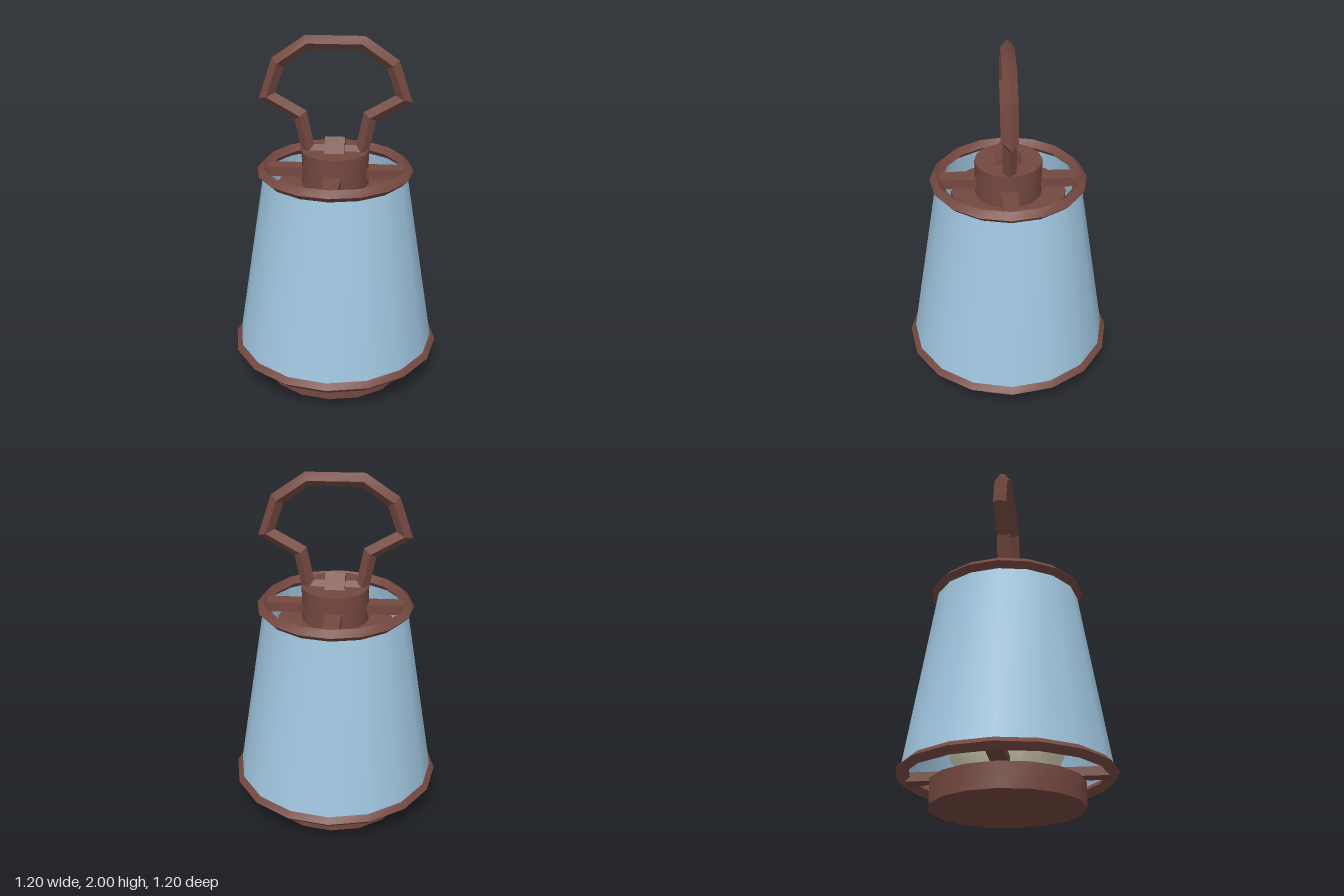
import * as THREE from 'three';
import { toCreasedNormals } from 'three/addons/utils/BufferGeometryUtils.js';

const SIDES = 16;

export function createModel() {
  const group = new THREE.Group();
  const material = (name, color) => {
    const m = new THREE.MeshStandardMaterial({ color, side: THREE.DoubleSide });
    m.name = name;
    return m;
  };
  const brown = material('brown metal', 0x744840);
  const blue = material('blue shade', 0xa0c6e0);
  const cream = material('cream glass', 0xd8d5b6);

  const add = (name, geometry, mat, x = 0, y = 0, z = 0) => {
    const mesh = new THREE.Mesh(toCreasedNormals(geometry, Math.PI / 7), mat);
    mesh.name = name;
    mesh.position.set(x, y, z);
    group.add(mesh);
    return mesh;
  };
  const drum = (name, r, y0, y1) =>
    add(name, new THREE.CylinderGeometry(r, r, y1 - y0, SIDES), brown, 0, (y0 + y1) / 2);

  // Ring with a diamond section
  const ring = (name, r, y) =>
    add(name, new THREE.TorusGeometry(r, 0.035, 4, SIDES).rotateX(Math.PI / 2), brown, 0, y);

  // Four spokes joining a centre to a ring
  const spokes = (name, r0, r1, y, h) => {
    for (let i = 0; i < 4; i++) {
      const g = new THREE.BoxGeometry(r1 - r0, h, 0.09);
      g.translate((r0 + r1) / 2, 0, 0).rotateY((i * Math.PI) / 2);
      add(name, g, brown, 0, y);
    }
  };

  // Base and lower frame
  drum('base', 0.42, 0, 0.137);
  ring('lowerRing', 0.563, 0.18);
  spokes('lowerSpoke', 0.1, 0.55, 0.18, 0.05);

  // Open conical shade
  add('shade', new THREE.CylinderGeometry(0.405, 0.57, 1.02, SIDES, 1, true), blue, 0, 0.71);

  // Inner glass
  const glass = [[0.19, 0.13], [0.26, 0.18], [0.31, 0.28], [0.32, 0.4], [0.32, 0.95], [0.3, 1.15]];
  add('glass', new THREE.LatheGeometry(glass.map(p => new THREE.Vector2(...p)), SIDES), cream);

  // Cap and upper frame
  drum('lid', 0.32, 1.11, 1.17);
  drum('hub', 0.187, 1.15, 1.365);
  ring('upperRing', 0.402, 1.25);
  spokes('upperSpoke', 0.12, 0.38, 1.24, 0.055);

  // Knob: square bar turned on its edge
  add('knob', new THREE.BoxGeometry(0.11, 0.106, 0.106).rotateX(Math.PI / 4), brown, 0, 1.365);

  // Carrying handle: closed loop with mitred diamond section
  const half = [[0.148, 1.355], [0.19, 1.56], [0.372, 1.665], [0.31, 1.85], [0.147, 1.963]];
  const path = [...half, ...half.map(([x, y]) => [-x, y]).reverse()]
    .map(p => new THREE.Vector2(...p));
  add('handle', diamondLoop(path, 0.038), brown);

  return group;
}

// Sweeps a diamond section round a counter-clockwise closed path in the xy plane
function diamondLoop(path, r) {
  const n = path.length;
  const positions = [];
  const index = [];
  path.forEach((p, i) => {
    const a = p.clone().sub(path[(i + n - 1) % n]).normalize();
    const b = path[(i + 1) % n].clone().sub(p).normalize();
    const na = new THREE.Vector2(a.y, -a.x);
    const nb = new THREE.Vector2(b.y, -b.x);
    const miter = na.clone().add(nb).normalize();
    miter.multiplyScalar(r / miter.dot(na));
    positions.push(
      p.x + miter.x, p.y + miter.y, 0,
      p.x, p.y, r,
      p.x - miter.x, p.y - miter.y, 0,
      p.x, p.y, -r
    );
    for (let j = 0; j < 4; j++) {
      const k = (j + 1) % 4;
      const c = i * 4;
      const d = ((i + 1) % n) * 4;
      index.push(c + j, d + j, d + k, c + j, d + k, c + k);
    }
  });
  const g = new THREE.BufferGeometry();
  g.setAttribute('position', new THREE.Float32BufferAttribute(positions, 3));
  g.setIndex(index);
  g.computeVertexNormals();
  return g;
}
